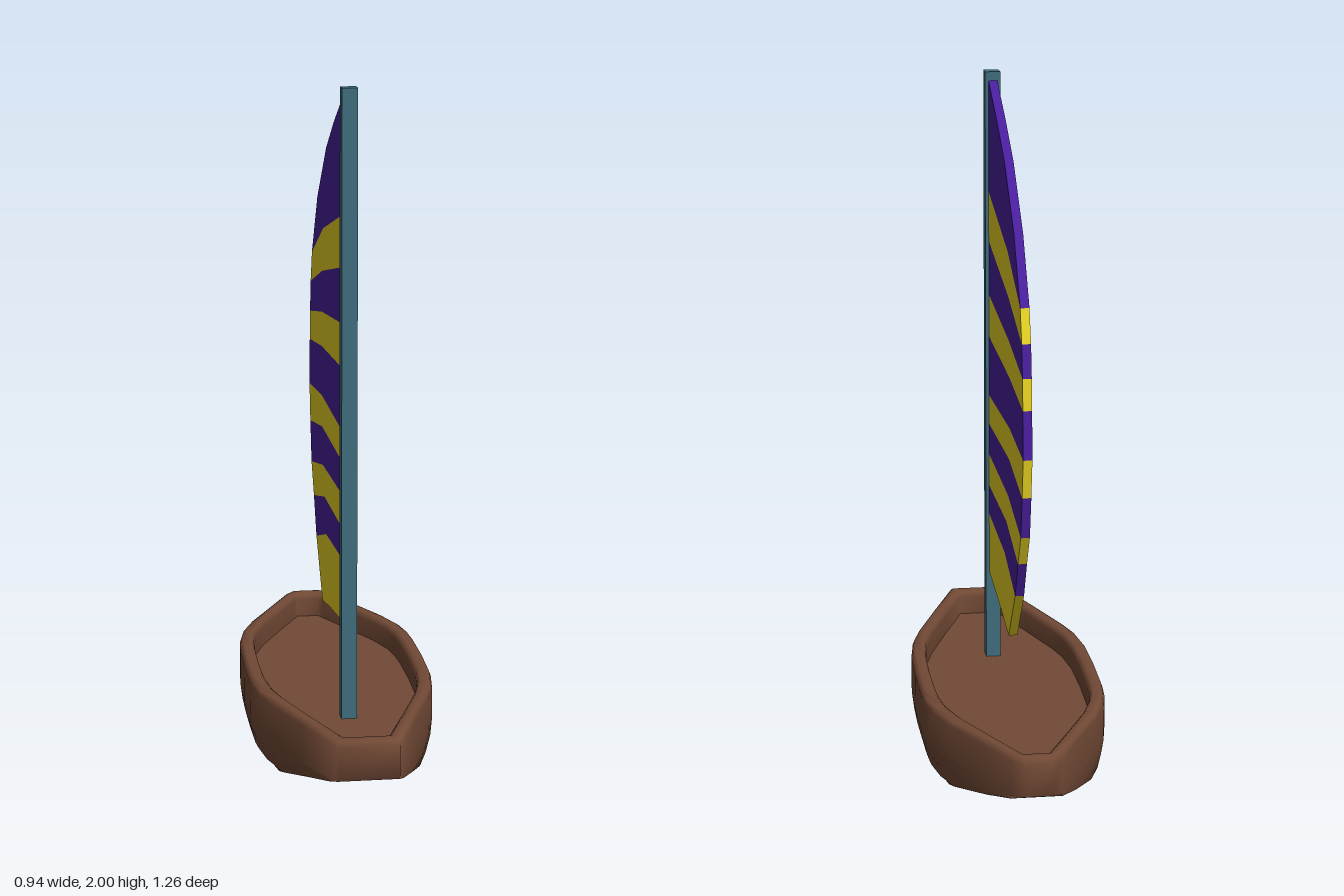
import * as THREE from 'three';
import { toCreasedNormals } from 'three/addons/utils/BufferGeometryUtils.js';

const mat = (name, color) => {
  const m = new THREE.MeshStandardMaterial({ color });
  m.name = name;
  return m;
};

// Half outline of the hull at the rim, stern to bow: [s along the boat, half width]
const OUTLINE = [
  [-0.701, 0.087], [-0.5, 0.163], [-0.32, 0.229], [-0.235, 0.254], [-0.12, 0.269],
  [0.03, 0.272], [0.19, 0.269], [0.27, 0.263], [0.345, 0.248], [0.44, 0.211],
  [0.6, 0.13], [0.72, 0.07], [0.747, 0.036],
];
const STERN = OUTLINE[0][0], BOW = OUTLINE[OUTLINE.length - 1][0];

function halfWidth(s) {
  let i = 0;
  while (i < OUTLINE.length - 2 && s > OUTLINE[i + 1][0]) i++;
  const [s0, w0] = OUTLINE[i], [s1, w1] = OUTLINE[i + 1];
  return THREE.MathUtils.mapLinear(s, s0, s1, w0, w1);
}

// Levels from keel, up over the rounded rim and down to the flat deck: [y, stern end, bow end, inset]
const LEVELS = [
  [0, 0.06, 0.06, 1], [0, -0.15, 0.27, 0.07], [0.012, -0.26, 0.335, 0.046],
  [0.045, -0.36, 0.43, 0.016], [0.09, -0.52, 0.6, 0.004], [0.125, -0.655, 0.715, 0],
  [0.14, STERN, BOW, 0], [0.236, STERN, BOW, 0], [0.25, STERN + 0.005, BOW - 0.005, 0.005],
  [0.255, STERN + 0.014, BOW - 0.014, 0.013], [0.255, STERN + 0.034, BOW - 0.032, 0.033],
  [0.248, STERN + 0.043, BOW - 0.042, 0.042], [0.235, STERN + 0.045, BOW - 0.045, 0.045],
  [0.178, STERN + 0.045, BOW - 0.045, 0.045], [0.178, 0.06, 0.06, 1],
];

function hullGeometry() {
  const pos = [], idx = [], n = OUTLINE.length, count = n * 2;
  for (const [y, s0, s1, inset] of LEVELS) {
    for (let i = 0; i < count; i++) {
      const side = i < n ? 1 : -1;
      const at = OUTLINE[i < n ? i : count - 1 - i][0];
      const s = THREE.MathUtils.mapLinear(at, STERN, BOW, s0, s1);
      pos.push(s, y, side * Math.max(0, halfWidth(s) - inset));
    }
  }
  for (let l = 0; l < LEVELS.length - 1; l++) {
    for (let i = 0; i < count; i++) {
      const a = l * count + i, b = l * count + (i + 1) % count;
      idx.push(a, b, b + count, a, b + count, a + count);
    }
  }
  const g = new THREE.BufferGeometry();
  g.setAttribute('position', new THREE.Float32BufferAttribute(pos, 3));
  g.setIndex(idx);
  return toCreasedNormals(g, 1.3);
}

// Seams between sail stripes: [y at mast, y at the kink, outer u, outer y]
const SEAMS = [
  [1.65, 1.545, 0.657, 1.435], [1.5, 1.415, 0.687, 1.34], [1.335, 1.29, 0.702, 1.245],
  [1.205, 1.185, 0.71, 1.155], [1.02, 1.035, 0.718, 1.015], [0.93, 0.94, 0.7, 0.9],
  [0.835, 0.825, 0.675, 0.775], [0.735, 0.735, 0.622, 0.68], [0.645, 0.628, 0.567, 0.565],
  [0.46, 0.425, 0.438, 0.398],
];
const seamPoints = ([y, kinkY, u, outerY]) => [[0, y], [u * 0.63, kinkY], [u, outerY]];

// A flat slab of sail cloth
function panel(points, material) {
  const shape = new THREE.Shape(points.map(([u, y]) => new THREE.Vector2(u, y)));
  const g = new THREE.ExtrudeGeometry(shape, { depth: 0.026, bevelEnabled: false });
  g.translate(0, 0, -0.013);
  const mesh = new THREE.Mesh(g, material);
  mesh.name = 'sailPanel';
  return mesh;
}

export function createModel() {
  const wood = mat('brown wood', 0x734a36);
  const steel = mat('blue grey mast', 0x3f6b7c);
  const purple = mat('purple cloth', 0x481e9c);
  const yellow = mat('yellow cloth', 0xe6d222);

  const model = new THREE.Group();
  model.name = 'sailboat';
  const boat = new THREE.Group();
  boat.name = 'boat';
  boat.position.set(0.003, 0, 0.005);
  boat.rotation.y = Math.atan2(0.82, 0.57);
  model.add(boat);

  const hull = new THREE.Mesh(hullGeometry(), wood);
  hull.name = 'hull';
  boat.add(hull);

  const mast = new THREE.Mesh(new THREE.BoxGeometry(0.045, 1.84, 0.045), steel);
  mast.name = 'mast';
  mast.position.set(-0.278, 1.08, 0);
  boat.add(mast);

  const sail = new THREE.Group();
  sail.name = 'sail';
  sail.position.x = mast.position.x;
  sail.rotation.y = 0.015;
  boat.add(sail);

  // Rounded head of the sail
  sail.add(panel([...seamPoints(SEAMS[0]), [0.537, 1.62], [0.352, 1.79], [0.193, 1.886], [0, 1.985]], purple));

  // Alternating stripes
  for (let i = 0; i < SEAMS.length - 1; i++) {
    const upper = seamPoints(SEAMS[i]).reverse();
    sail.add(panel([...seamPoints(SEAMS[i + 1]), ...upper], i % 2 ? purple : yellow));
  }
  return model;
}
